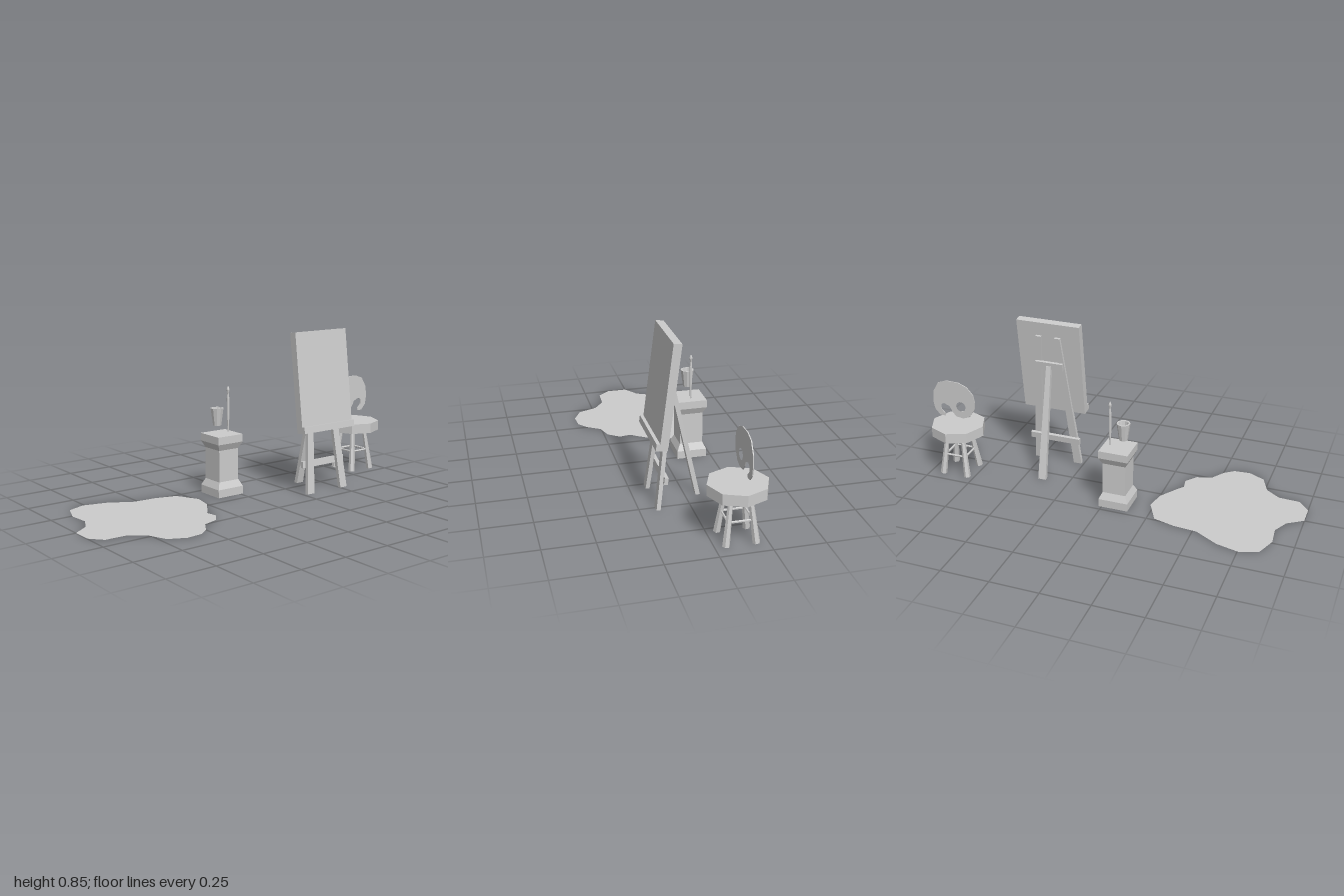
import * as THREE from 'three';

const material = new THREE.MeshStandardMaterial({ color: 0xcccccc, flatShading: true });
const thinMaterial = new THREE.MeshStandardMaterial({ color: 0xcccccc, flatShading: true, side: THREE.DoubleSide });
const UP = new THREE.Vector3(0, 1, 0);

function add(parent, name, geometry, x = 0, y = 0, z = 0, mat = material) {
  const mesh = new THREE.Mesh(geometry, mat);
  mesh.name = name;
  mesh.position.set(x, y, z);
  parent.add(mesh);
  return mesh;
}

function group(parent, name, x = 0, y = 0, z = 0) {
  const g = new THREE.Group();
  g.name = name;
  g.position.set(x, y, z);
  parent.add(g);
  return g;
}

// Surface of revolution from [radius, height] pairs listed upwards
function lathe(profile, sides, start = 0) {
  return new THREE.LatheGeometry(profile.map(([r, y]) => new THREE.Vector2(r, y)), sides, start);
}

// Round bar between two points
function bar(parent, name, from, to, rFrom, rTo, sides) {
  const a = new THREE.Vector3(...from), b = new THREE.Vector3(...to);
  const mid = a.clone().add(b).multiplyScalar(0.5);
  const mesh = add(parent, name, new THREE.CylinderGeometry(rTo, rFrom, a.distanceTo(b), sides), mid.x, mid.y, mid.z);
  mesh.quaternion.setFromUnitVectors(UP, b.sub(a).normalize());
}

// Box-section plank whose ends sit at two [x, y, z] points, narrower at the top
function plank(parent, name, from, to, wFrom, wTo, depth) {
  const g = new THREE.BoxGeometry(1, 1, depth);
  const p = g.attributes.position;
  for (let i = 0; i < p.count; i++) {
    const end = p.getY(i) > 0 ? to : from;
    const width = p.getY(i) > 0 ? wTo : wFrom;
    p.setXYZ(i, end[0] + p.getX(i) * width, end[1], end[2] + p.getZ(i));
  }
  g.computeVertexNormals();
  add(parent, name, g);
}

function slab(parent, name, x0, x1, y0, y1, z0, z1) {
  add(parent, name, new THREE.BoxGeometry(x1 - x0, y1 - y0, z1 - z0), (x0 + x1) / 2, (y0 + y1) / 2, (z0 + z1) / 2);
}

function toShape(points) {
  return new THREE.Shape(points.map(([x, y]) => new THREE.Vector2(x, y)));
}

function buildPuddle(root) {
  const outline = [
    [-0.76, -0.38], [-0.64, -0.35], [-0.52, -0.28], [-0.4, -0.27], [-0.29, -0.24], [-0.23, -0.12], [-0.25, -0.02],
    [-0.31, 0.07], [-0.34, 0.11], [-0.33, 0.17], [-0.375, 0.23], [-0.455, 0.255], [-0.5, 0.325], [-0.55, 0.365],
    [-0.635, 0.372], [-0.72, 0.33], [-0.76, 0.23], [-0.835, 0.175], [-0.945, 0.17], [-1, 0.105], [-1, 0],
    [-0.92, -0.055], [-0.88, -0.135], [-0.89, -0.24], [-0.85, -0.345],
  ];
  const geometry = new THREE.ShapeGeometry(toShape(outline.map(([x, z]) => [x, -z])));
  geometry.rotateX(-Math.PI / 2);
  add(root, 'paintPuddle', geometry, 0, 0.001, 0, thinMaterial);
}

function buildPedestal(root) {
  const g = group(root, 'pedestalSet', -0.062, 0, -0.146);
  // Square column with flared base and cap
  const profile = [[0, 0], [0.078, 0], [0.078, 0.042], [0.061, 0.078], [0.061, 0.245], [0.078, 0.28], [0.078, 0.32], [0, 0.32]];
  add(g, 'pedestal', lathe(profile.map(([r, y]) => [r * Math.SQRT2, y]), 4, Math.PI / 4));
  // Hollow cup
  const cup = [[0, 0.367], [0.022, 0.367], [0.035, 0.458], [0.026, 0.458], [0.015, 0.378], [0, 0.378]];
  add(g, 'cup', lathe(cup, 10), -0.029, 0, 0);
  // Upright brush with a pointed tip
  const brush = [[0, 0.325], [0.004, 0.325], [0.0065, 0.41], [0.007, 0.5], [0.0045, 0.527], [0.0085, 0.547], [0.005, 0.558], [0, 0.567]];
  add(g, 'brush', lathe(brush, 8), 0.042, 0, 0);
}

function buildEasel(root) {
  const g = group(root, 'easel', 0.399, 0, 0);
  // Leaning frame: y runs along the slope
  const frame = group(g, 'leaningFrame', 0, 0, 0.152);
  frame.rotation.x = -0.126;
  for (const s of [-1, 1]) {
    plank(frame, 'frontLeg', [s * 0.115, 0.002, 0.01], [s * 0.052, 0.774, 0.01], 0.045, 0.032, 0.02);
  }
  slab(frame, 'canvas', -0.174, 0.174, 0.345, 0.848, 0.014, 0.055);
  slab(frame, 'ledge', -0.174, 0.174, 0.327, 0.361, 0.016, 0.073);
  slab(frame, 'lowerCrossbar', -0.142, 0.142, 0.14, 0.174, -0.017, 0.002);
  slab(frame, 'upperCrossbar', -0.077, 0.077, 0.592, 0.631, -0.014, 0.002);
  plank(g, 'rearLeg', [0, 0, -0.064], [0, 0.605, 0.068], 0.043, 0.026, 0.022);
}

function buildStool(root) {
  const g = group(root, 'stool', 0.855, 0, -0.122);
  add(g, 'seat', new THREE.CylinderGeometry(0.145, 0.145, 0.054, 8), 0, 0.257, 0);
  const corners = [[1, 1], [1, -1], [-1, -1], [-1, 1]];
  corners.forEach(([x, z], i) => {
    bar(g, 'stoolLeg', [x * 0.071, 0.003, z * 0.071], [x * 0.044, 0.235, z * 0.044], 0.018, 0.011, 6);
    const [nx, nz] = corners[(i + 1) % 4];
    bar(g, 'rung', [x * 0.058, 0.114, z * 0.058], [nx * 0.058, 0.114, nz * 0.058], 0.006, 0.006, 6);
  });
}

function buildPalette(root) {
  const shape = toShape([
    [0.037, 0.104], [0.086, 0.086], [0.118, 0.032], [0.123, -0.027], [0.115, -0.07], [0.086, -0.102], [0.056, -0.102],
    [0.059, -0.086], [0.078, -0.067], [0.08, -0.04], [0.059, -0.029], [0.027, -0.043], [0.013, -0.07],
    [-0.008, -0.096], [-0.048, -0.102], [-0.086, -0.088], [-0.118, -0.043], [-0.123, 0], [-0.115, 0.043],
    [-0.08, 0.083], [-0.032, 0.102],
  ]);
  // Thumb hole
  shape.holes.push(new THREE.Path().absarc(-0.04, -0.035, 0.028, 0, Math.PI * 2, true));
  const geometry = new THREE.ExtrudeGeometry(shape, { depth: 0.005, bevelEnabled: false, curveSegments: 5 });
  add(root, 'palette', geometry, 0.856, 0.431, -0.15);
}

export function createModel() {
  const root = new THREE.Group();
  root.name = 'paintingCorner';
  buildPuddle(root);
  buildPedestal(root);
  buildEasel(root);
  buildStool(root);
  buildPalette(root);
  return root;
}
